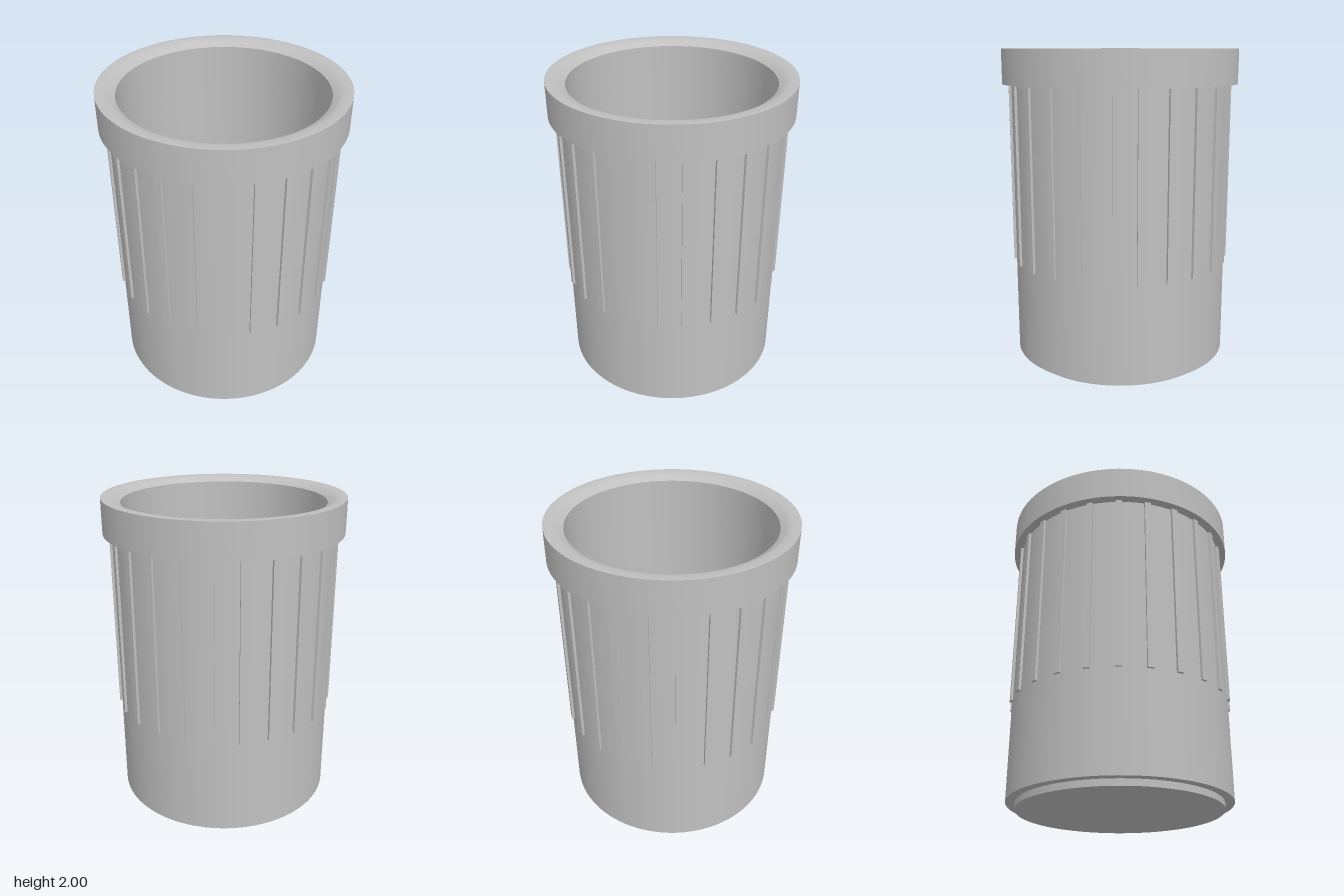
import * as THREE from 'three';
import { toCreasedNormals } from 'three/addons/utils/BufferGeometryUtils.js';

const SIDES = 96;
const RIBS = 24;

export function createModel() {
  const group = new THREE.Group();
  group.name = 'ribbedBin';
  const grey = new THREE.MeshStandardMaterial({ color: 0xc0c0c0 });
  grey.name = 'grey';

  // Closed profile: foot, body, overhanging rim, softened lip, inner wall, floor
  const profile = [
    [0, 0], [0.633, 0], [0.633, 0.04],
    [0.69, 0.04], [0.69, 1.785],
    [0.745, 1.785], [0.745, 2],
    [0.69, 2], [0.66, 1.988], [0.628, 1.966],
    [0.628, 0.06], [0, 0.06],
  ].map(([r, y]) => new THREE.Vector2(r, y));
  const shell = new THREE.Mesh(
    toCreasedNormals(new THREE.LatheGeometry(profile, SIDES), THREE.MathUtils.degToRad(40)),
    grey
  );
  shell.name = 'binShell';
  group.add(shell);

  // Vertical ribs hanging below the rim
  const ribs = new THREE.Group();
  ribs.name = 'ribs';
  const bottom = 0.655, top = 1.785, inner = 0.68, outer = 0.706;
  const ribGeometry = new THREE.BoxGeometry(0.04, top - bottom, outer - inner);
  ribGeometry.translate(0, (top + bottom) / 2, (inner + outer) / 2);
  for (let i = 0; i < RIBS; i++) {
    const rib = new THREE.Mesh(ribGeometry, grey);
    rib.name = 'rib';
    rib.rotation.y = (i / RIBS) * Math.PI * 2;
    ribs.add(rib);
  }
  group.add(ribs);
  return group;
}
